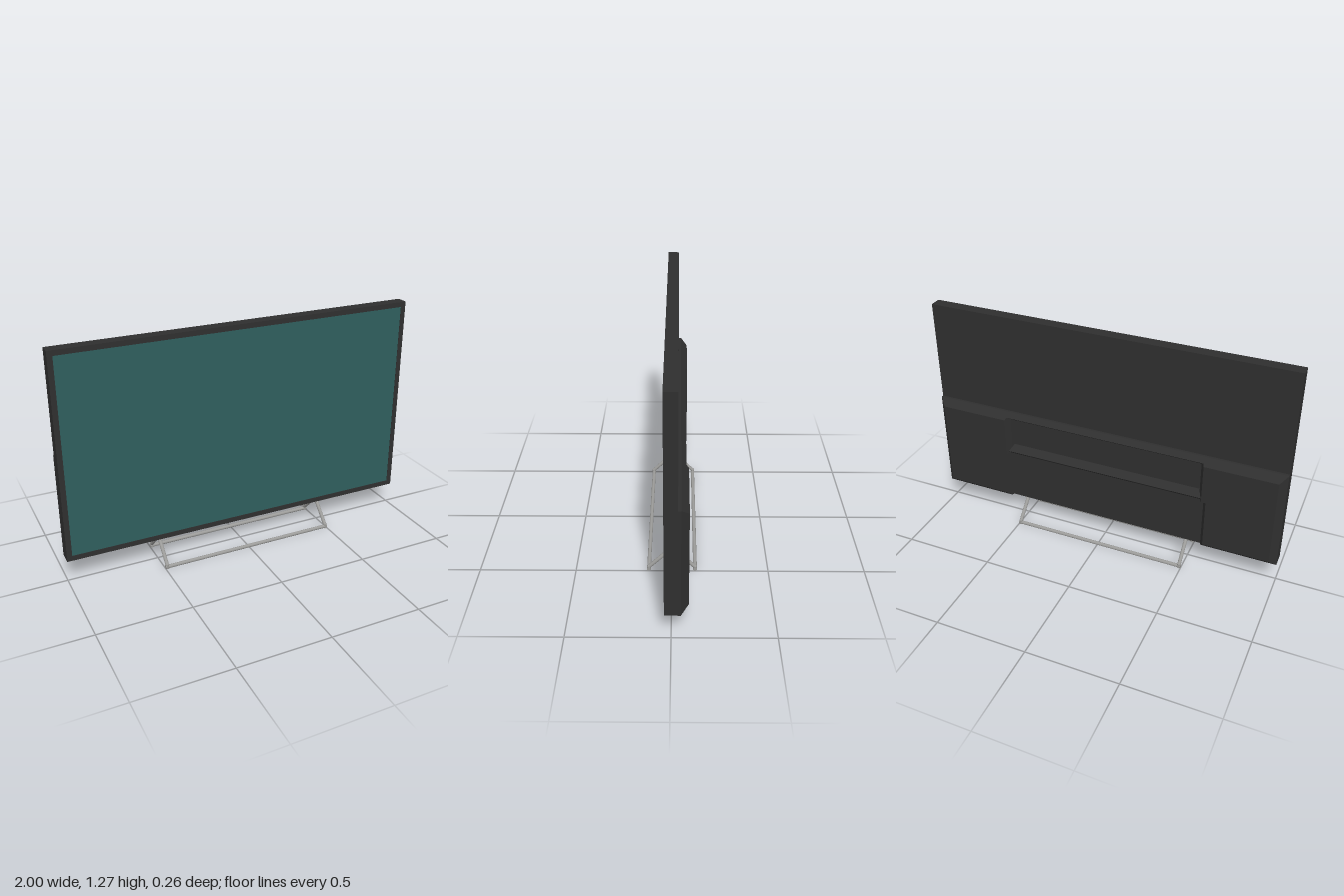
import * as THREE from 'three';
import { ConvexGeometry } from 'three/addons/geometries/ConvexGeometry.js';

export function createModel() {
  const group = new THREE.Group();
  group.name = 'television';
  const casing = new THREE.MeshStandardMaterial({ color: 0x2f2f2f });
  casing.name = 'charcoal casing';
  const glass = new THREE.MeshStandardMaterial({ color: 0x2f5f5e });
  glass.name = 'teal screen';
  const metal = new THREE.MeshStandardMaterial({ color: 0x9c9c9a });
  metal.name = 'grey metal';

  const add = (geometry, material, name, parent = group) => {
    const mesh = new THREE.Mesh(geometry, material);
    mesh.name = name;
    parent.add(mesh);
    return mesh;
  };
  const hull = (points, name, parent) =>
    add(new ConvexGeometry(points.map((p) => new THREE.Vector3(...p))), casing, name, parent);

  // Panel dimensions
  const bottom = 0.132, top = 1.267, front = 0.033, back = -0.031;
  const midY = (bottom + top) / 2, height = top - bottom, bezel = 0.028;

  // Flat panel body, bezel frame and slightly recessed screen
  const lip = 0.006;
  add(new THREE.BoxGeometry(2, height, front - lip - back), casing, 'panelBody')
    .position.set(0, midY, (front - lip + back) / 2);

  const rectangle = (target, w, h) => {
    target.moveTo(-w, -h);
    target.lineTo(w, -h);
    target.lineTo(w, h);
    target.lineTo(-w, h);
    target.closePath();
    return target;
  };
  const frame = rectangle(new THREE.Shape(), 1, height / 2);
  frame.holes.push(rectangle(new THREE.Path(), 1 - bezel, height / 2 - bezel));
  add(new THREE.ExtrudeGeometry(frame, { depth: lip, bevelEnabled: false }), casing, 'bezel')
    .position.set(0, midY, front - lip);
  add(new THREE.BoxGeometry(2 - 2 * bezel, height - 2 * bezel, 0.004), glass, 'screen')
    .position.set(0, midY, front - lip + 0.002);

  // Rear housing: bevelled pods at each side
  const housing = new THREE.Group();
  housing.name = 'rearHousing';
  group.add(housing);
  const step = -0.045, deep = -0.082, shelf = 0.705, split = 0.445;
  for (const s of [-1, 1]) {
    const side = s > 0 ? 'left' : 'right';
    const lower = [];
    for (const y of [bottom, split]) {
      const yDeep = y === bottom ? bottom + 0.037 : y;
      lower.push([s, y, back], [s, y, step], [s * 0.963, yDeep, deep],
        [s * 0.6, yDeep, deep], [s * 0.575, y, back]);
    }
    // keeps the inner edge chamfered down to the base
    lower.push([s * 0.582, bottom, step]);
    hull(lower, side + 'LowerPod', housing);

    const upper = [];
    for (const y of [split, shelf]) {
      const yDeep = y === shelf ? shelf - 0.037 : y;
      upper.push([s, y, back], [s, y, step], [s * 0.963, yDeep, deep],
        [s * 0.575, yDeep, deep], [s * 0.55, y, back], [s * 0.555, y, step]);
    }
    hull(upper, side + 'UpperPod', housing);
  }

  // Bars across the middle, bounding the upper and lower recesses
  const bar = (profile, halfWidth, name) =>
    hull([-halfWidth, halfWidth].flatMap((x) => profile.map(([y, z]) => [x, y, z])), name, housing);
  bar([[shelf, back], [shelf, step], [shelf - 0.025, -0.07], [0.65, back]], 0.58, 'topBar');
  bar([[0.49, back], [0.46, -0.07], [0.425, back]], 0.578, 'middleRidge');

  // Wire stand: a front and a back loop meeting under the panel
  const stand = new THREE.Group();
  stand.name = 'stand';
  group.add(stand);
  const r = 0.01;
  const rod = (a, b, name) => {
    const from = new THREE.Vector3(...a), to = new THREE.Vector3(...b);
    const dir = to.clone().sub(from);
    const mesh = add(new THREE.CylinderGeometry(r, r, dir.length(), 12), metal, name, stand);
    mesh.position.copy(from).add(to).multiplyScalar(0.5);
    mesh.quaternion.setFromUnitVectors(new THREE.Vector3(0, 1, 0), dir.normalize());
  };
  for (const f of [-1, 1]) {
    const z = f * 0.12, end = f > 0 ? 'front' : 'back';
    rod([-0.5, r, z], [0.5, r, z], end + 'FootBar');
    for (const x of [-0.49, 0.49]) {
      rod([x, 0, z], [x, 0.024, z], end + 'Foot');
      rod([x, 0.02, z], [x, 0.14, 0], end + 'Leg');
      add(new THREE.SphereGeometry(r, 12, 8), metal, end + 'Joint', stand).position.set(x, 0.022, z);
    }
  }
  return group;
}
